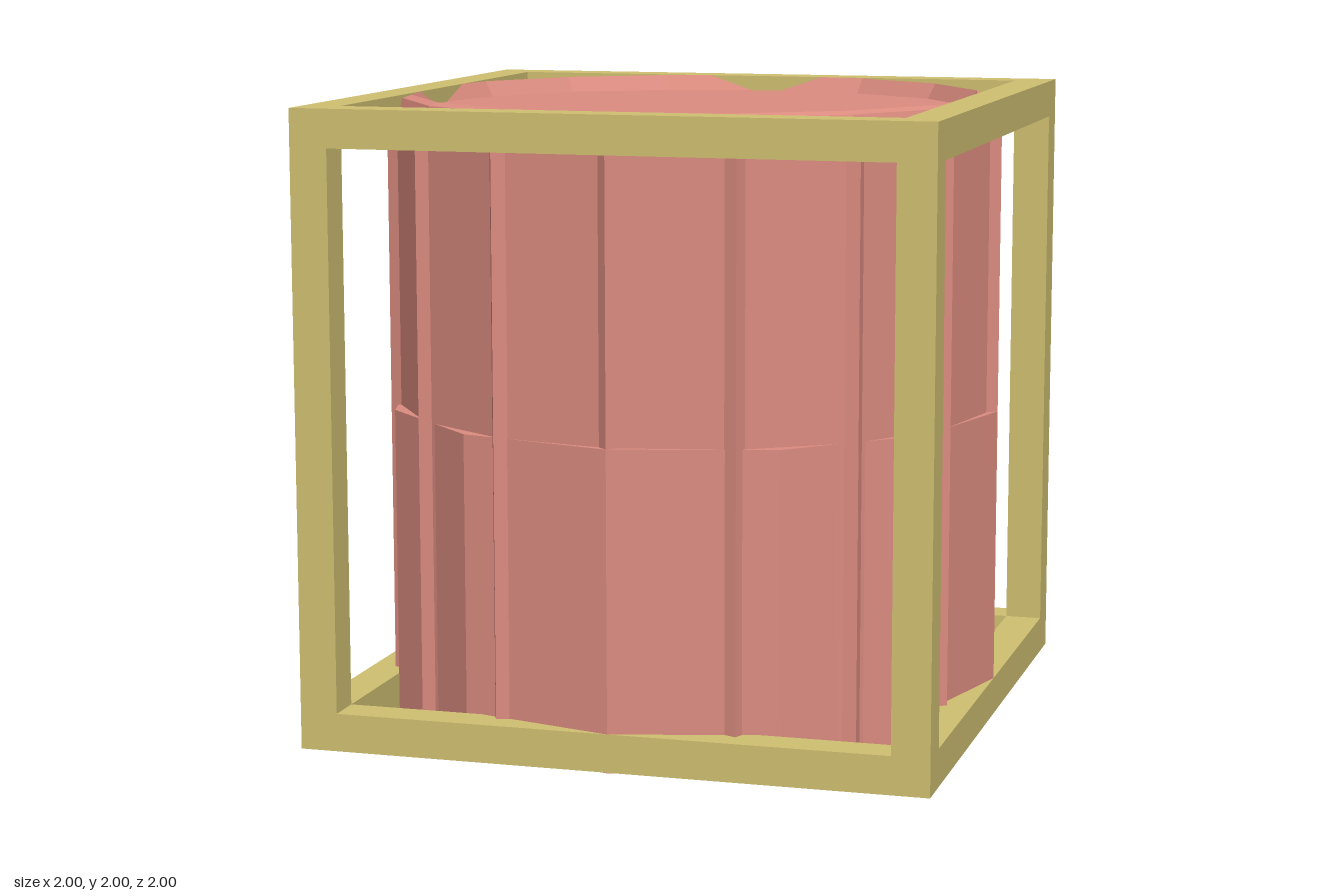
import * as THREE from 'three';

export function createModel() {
  const model = new THREE.Group();
  const frameMat = new THREE.MeshStandardMaterial({ color: 0xd0c072 });
  frameMat.name = 'straw yellow';
  const drumMat = new THREE.MeshStandardMaterial({ color: 0xdc8c80, flatShading: true });
  drumMat.name = 'salmon pink';

  const add = (parent, name, geometry, material, x = 0, y = 0, z = 0) => {
    const mesh = new THREE.Mesh(geometry, material);
    mesh.name = name;
    mesh.position.set(x, y, z);
    parent.add(mesh);
    return mesh;
  };

  // Open cube frame: four posts, and four rails at top and bottom
  const frame = new THREE.Group();
  frame.name = 'cubeFrame';
  model.add(frame);
  const bar = 0.12, edge = 1 - bar / 2, inner = 2 - 2 * bar;
  const lift = 0.002; // keeps the rails just clear of the drum's base plane
  for (const a of [-edge, edge]) {
    for (const b of [-edge, edge]) {
      add(frame, 'post', new THREE.BoxGeometry(bar, 2 - lift, bar), frameMat, a, 1 + lift / 2, b);
    }
    for (const y of [edge + lift, 2 - bar / 2]) {
      add(frame, 'sideRail', new THREE.BoxGeometry(bar, bar, inner), frameMat, a, y, 0);
      add(frame, 'crossRail', new THREE.BoxGeometry(inner, bar, bar), frameMat, 0, y - 0, a);
    }
  }
  // Lower rails sit on the ground
  frame.children.forEach((m) => {
    if (m.name !== 'post' && m.position.y < 1) m.position.y = bar / 2 + lift;
  });

  const drum = new THREE.Group();
  drum.name = 'drum';
  model.add(drum);

  // Sixteen-sided body with a bevelled rim and a shallow dished top
  const profile = [
    [0, 0.002], [0.975, 0.002], [0.975, 1.92], [0.95, 1.99],
    [0.92, 2], [0.89, 1.95], [0, 1.95],
  ].map(([x, y]) => new THREE.Vector2(x, y));
  add(drum, 'body', new THREE.LatheGeometry(profile, 16), drumMat);

  // Wider twelve-sided lower half
  add(drum, 'lowerSleeve', new THREE.CylinderGeometry(1, 1, 1, 12), drumMat, 0, 0.5, 0);

  // Upright ribs, square bars turned corner outwards
  const half = 0.08, height = 1.91;
  const ribGeo = new THREE.CylinderGeometry(half, half, height, 4);
  for (let i = 0; i < 16; i++) {
    const angle = (i / 16) * Math.PI * 2, r = 1 - half;
    const rib = add(drum, 'rib', ribGeo, drumMat,
      Math.sin(angle) * r, height / 2 + 0.001, Math.cos(angle) * r);
    rib.rotation.y = angle;
  }
  return model;
}
